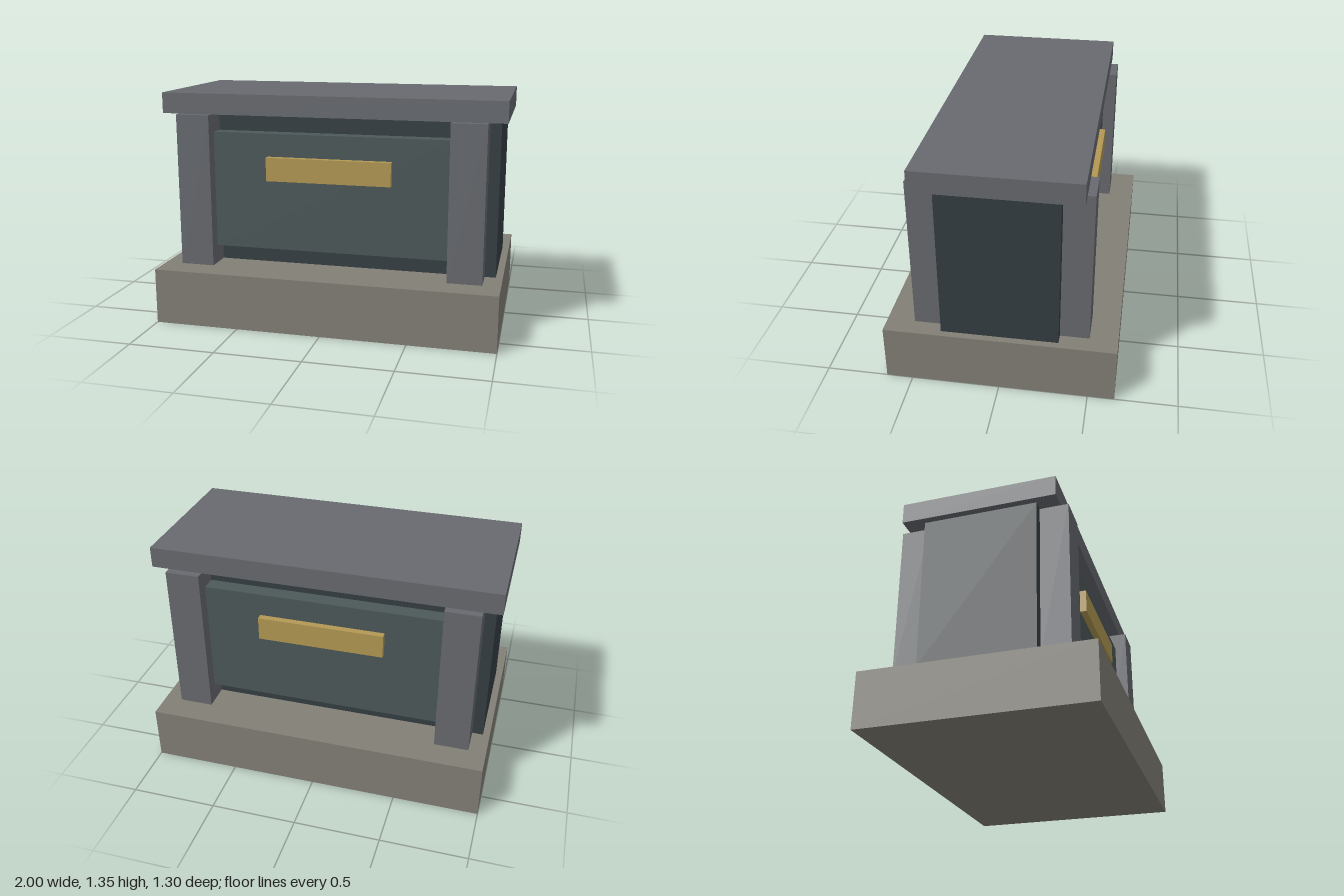
import * as THREE from 'three';

export function createModel() {
  const model = new THREE.Group();
  const material = (color) => new THREE.MeshStandardMaterial({ color });
  const stone = material(0x827f76);
  const slate = material(0x676a6f);
  const dark = material(0x353e43);
  const green = material(0x4d5859);
  const gold = material(0xb39954);

  // Box given by its lower and upper limits on each axis
  function box(name, mat, [x0, x1], [y0, y1], [z0, z1]) {
    const mesh = new THREE.Mesh(new THREE.BoxGeometry(x1 - x0, y1 - y0, z1 - z0), mat);
    mesh.position.set((x0 + x1) / 2, (y0 + y1) / 2, (z0 + z1) / 2);
    mesh.name = name;
    return mesh;
  }

  // Plinth, chest body and overhanging lid
  model.add(
    box('base', stone, [-1, 1], [0, 0.327], [-0.65, 0.65]),
    box('body', dark, [-0.96, 0.96], [0.327, 1.227], [-0.328, 0.328]),
    box('lid', slate, [-1, 1], [1.227, 1.348], [-0.448, 0.448]),
  );

  // Front and back carry the same pillars, raised panel and plaque
  for (const [side, turn] of [['front', 0], ['back', Math.PI]]) {
    const face = new THREE.Group();
    face.name = side + 'Face';
    face.rotation.y = turn;
    face.add(
      box('leftPillar', slate, [0.697, 0.897], [0.327, 1.227], [0.328, 0.492]),
      box('rightPillar', slate, [-0.897, -0.697], [0.327, 1.227], [0.328, 0.492]),
      box('panel', green, [-0.697, 0.697], [0.433, 1.122], [0.328, 0.417]),
      box('plaque', gold, [-0.367, 0.367], [0.85, 0.988], [0.417, 0.455]),
    );
    model.add(face);
  }
  return model;
}
